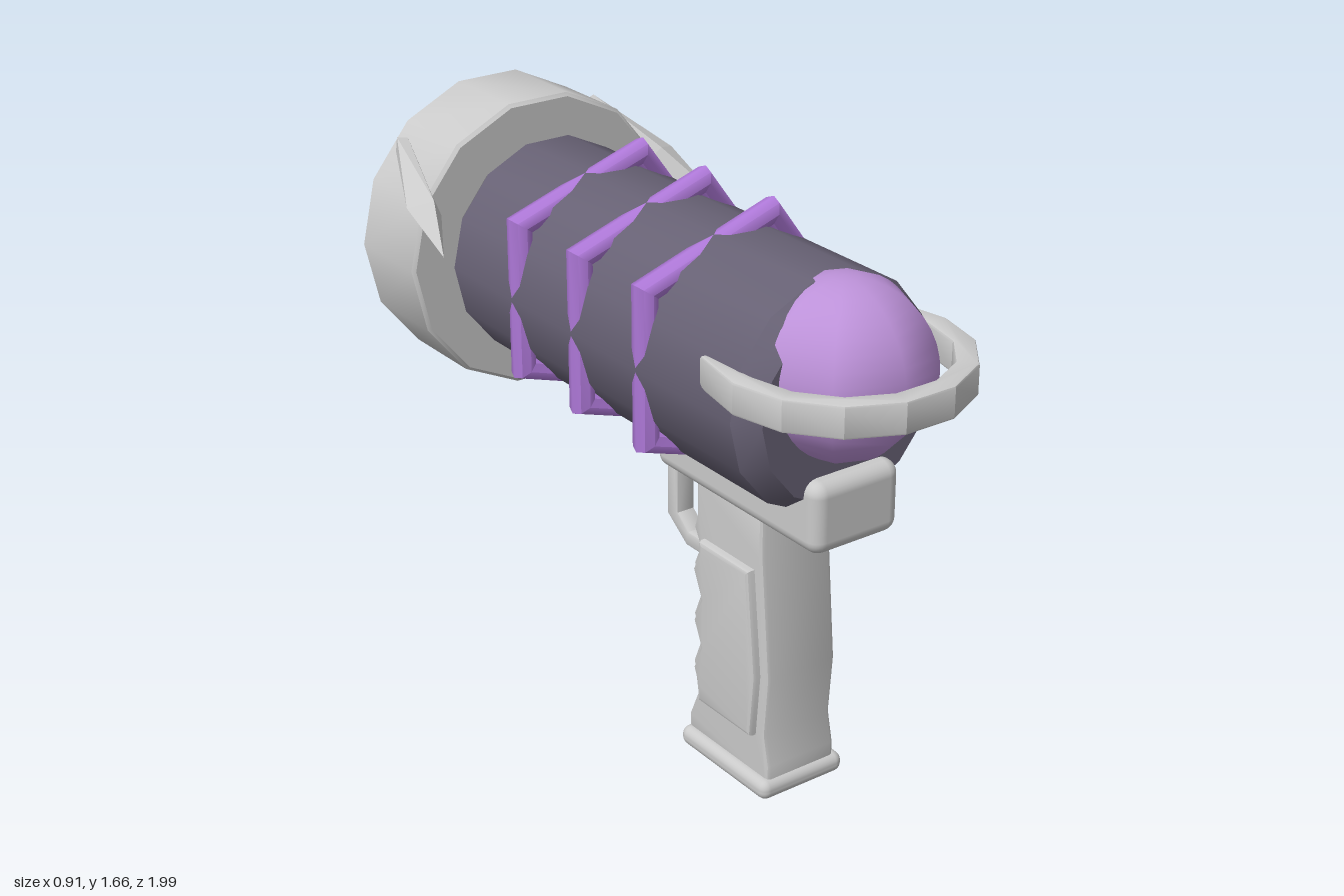
import * as THREE from 'three';
import { toCreasedNormals } from 'three/addons/utils/BufferGeometryUtils.js';
import { RoundedBoxGeometry } from 'three/addons/geometries/RoundedBoxGeometry.js';
import { ConvexGeometry } from 'three/addons/geometries/ConvexGeometry.js';

const material = (name, color) => {
  const m = new THREE.MeshStandardMaterial({ color });
  m.name = name;
  return m;
};

export function createModel() {
  const model = new THREE.Group();
  const metal = material('light metal', 0xcacaca);
  const casing = material('dark casing', 0x676174);
  const glow = material('pale violet', 0xbd92d9);
  const violet = material('violet', 0xae78d8);
  const AXIS = 1.23, SIDES = 14;

  const add = (name, geometry, mat, x = 0, y = 0, z = 0) => {
    const mesh = new THREE.Mesh(geometry, mat);
    mesh.name = name;
    mesh.position.set(x, y, z);
    model.add(mesh);
    return mesh;
  };
  const vectors = (pts) => pts.map(([a, b]) => new THREE.Vector2(a, b));

  // Fourteen-sided turned part lying along z; profile is [radius, z]
  const turned = (pts) => toCreasedNormals(
    new THREE.LatheGeometry(vectors(pts), SIDES, Math.PI / SIDES).rotateX(Math.PI / 2), 0.5);

  // Plate with bevelled edges; bevel stays inside the outline and width
  const plate = (pts, width, bevel) => {
    const depth = width - 2 * bevel;
    return new THREE.ExtrudeGeometry(new THREE.Shape(vectors(pts)), {
      depth, bevelEnabled: true, bevelThickness: bevel, bevelSize: bevel,
      bevelOffset: -bevel, bevelSegments: 2, curveSegments: 8,
    }).translate(0, 0, -depth / 2);
  };
  // Side-profile plate: points are [z, y], width runs along x
  const sidePlate = (pts, width, bevel) =>
    toCreasedNormals(plate(pts, width, bevel).rotateY(-Math.PI / 2), 0.5);

  // Barrel with chamfered ends
  add('barrel', turned([
    [0, -0.705], [0.287, -0.705], [0.325, -0.675], [0.325, 0.62], [0.278, 0.69], [0, 0.69],
  ]), casing, 0, AXIS);

  // Hollow muzzle ring at the rear
  add('muzzleRing', turned([
    [0.29, -0.99], [0.3, -1], [0.43, -1], [0.44, -0.99], [0.44, -0.72],
    [0.43, -0.71], [0.3, -0.71], [0.29, -0.72], [0.29, -0.99],
  ]), metal, 0, AXIS);

  // Three five-cornered bands
  for (const z of [0.215, -0.083, -0.375]) {
    const band = toCreasedNormals(new THREE.TorusGeometry(0.36, 0.04, 8, 5), 0.9);
    add('barrelBand', band, violet, 0, AXIS, z);
  }

  // Orb in the front end
  add('orb', new THREE.SphereGeometry(0.245, 8, 20), glow, 0, 1.315, 0.655);

  // Horizontal hoop around the orb, tapering into the barrel sides
  const hoop = [];
  const center = 0.655;
  for (let i = 0; i <= 7; i++) {
    const a = (i - 0.0) * Math.PI / 7;
    hoop.push([Math.cos(a) * 0.345, center + Math.sin(a) * 0.345]);
  }
  hoop.push([-0.312, 0.48], [-0.295, 0.48]);
  for (let i = 7; i >= 0; i--) {
    const a = i * Math.PI / 7;
    hoop.push([Math.cos(a) * 0.285, center + Math.sin(a) * 0.285]);
  }
  hoop.push([0.295, 0.48], [0.312, 0.48]);
  add('orbHoop', toCreasedNormals(plate(hoop, 0.09, 0.007).rotateX(Math.PI / 2), 0.4),
    metal, 0, 1.317, 0);

  // Pointed fins on both sides of the muzzle
  for (const s of [1, -1]) {
    const points = [
      [0.34, 1.55, -0.94], [0.31, 1.545, -0.93], [0.31, 1.5, -0.95], [0.34, 1.505, -0.95],
      [0.455, 1.43, -0.7], [0.39, 1.45, -0.66], [0.345, 1.385, -0.7], [0.41, 1.36, -0.69],
      [0.457, 1.345, -0.505],
    ].map(([x, y, z]) => new THREE.Vector3(s * x, y, z));
    add(s > 0 ? 'leftFin' : 'rightFin', new ConvexGeometry(points), metal);
  }

  // Mount block between barrel and grip
  add('mountBlock', new RoundedBoxGeometry(0.285, 0.205, 0.7, 3, 0.04), metal, 0, 0.943, 0.39);

  // Grip with finger notches
  add('grip', sidePlate([
    [0.53, 0.04], [0.53, 0.1], [0.51, 0.19], [0.525, 0.37], [0.492, 0.73], [0.492, 0.86],
    [0.2, 0.86], [0.2, 0.74], [0.187, 0.7], [0.215, 0.65], [0.187, 0.59], [0.22, 0.51],
    [0.187, 0.43], [0.22, 0.36], [0.187, 0.28], [0.205, 0.18], [0.17, 0.1], [0.17, 0.04],
  ].reverse(), 0.232, 0.012), metal);

  // Raised side panels, one slab showing on both sides
  add('gripPanels', sidePlate([
    [0.475, 0.18], [0.492, 0.37], [0.46, 0.685], [0.24, 0.685], [0.24, 0.645], [0.215, 0.59],
    [0.25, 0.51], [0.218, 0.43], [0.25, 0.36], [0.218, 0.28], [0.238, 0.23], [0.238, 0.18],
  ].reverse(), 0.28, 0.012), metal);

  // Foot plate
  add('footPlate', new RoundedBoxGeometry(0.285, 0.06, 0.39, 3, 0.027), metal, 0, 0.03, 0.352);

  // Trigger and its guard
  add('trigger', sidePlate([
    [0.165, 0.86], [0.165, 0.76], [0.182, 0.69], [0.165, 0.665], [0.132, 0.7],
    [0.117, 0.76], [0.117, 0.86],
  ], 0.05, 0.008), metal);
  add('triggerGuard', sidePlate([
    [0.22, 0.55], [0.035, 0.55], [-0.055, 0.615], [-0.055, 0.85], [-0.005, 0.85],
    [-0.005, 0.635], [0.045, 0.595], [0.22, 0.595],
  ], 0.06, 0.008), metal);

  return model;
}
